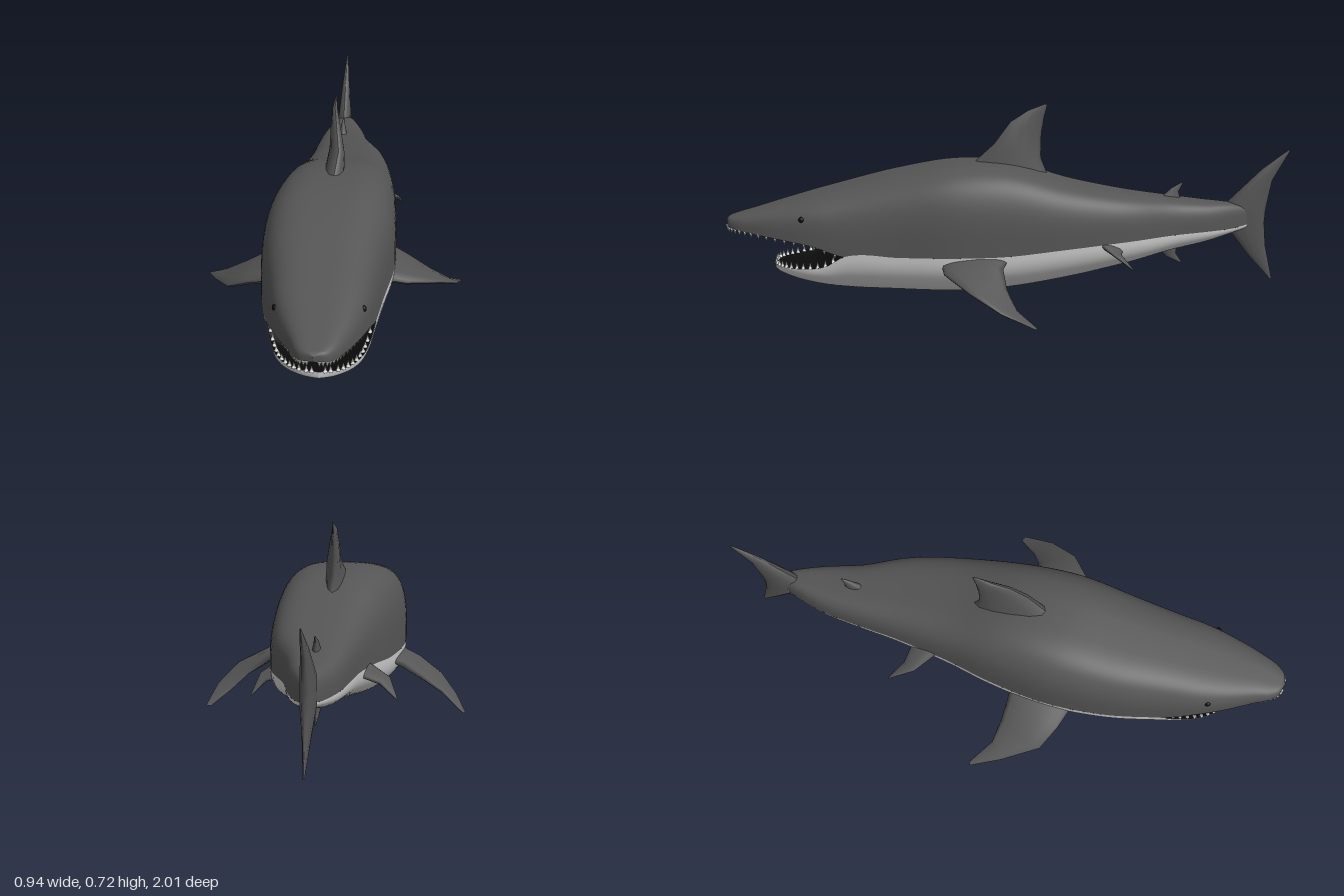
import * as THREE from 'three';

const mat = (color, side = THREE.FrontSide) => new THREE.MeshStandardMaterial({ color, side });
const SKIN = mat(0x555555), FIN = mat(0x555555, THREE.DoubleSide), BELLY = mat(0xcccccc);
const BLACK = mat(0x0a0a0a, THREE.DoubleSide), TOOTH = mat(0xf0f0ea);

// Smooth interpolation of table rows [s, value, value, ...] along the body.
function track(rows) {
  const n = rows[0].length - 1;
  const it = new THREE.CubicInterpolant(rows.map(r => r[0]), rows.flatMap(r => r.slice(1)), n);
  return s => Array.from(it.evaluate(s));
}

// Sideways sweep of the spine: x for each station s (= z).
const spine = track([[-1, -0.335], [-0.8, -0.262], [-0.55, -0.172], [-0.4, -0.1], [-0.2, -0.03], [0, 0.02],
  [0.2, 0.07], [0.4, 0.125], [0.6, 0.197], [0.8, 0.272], [0.9, 0.308], [1, 0.335], [1.1, 0.36]]);

// Upper body: half width, top, lower edge.
const upper = track([[-0.88, 0.004, 0.31, 0.265], [-0.8, 0.042, 0.338, 0.25], [-0.7, 0.08, 0.35, 0.247],
  [-0.55, 0.114, 0.372, 0.243], [-0.4, 0.156, 0.4, 0.238], [-0.2, 0.192, 0.445, 0.222], [0, 0.222, 0.505, 0.203],
  [0.2, 0.238, 0.514, 0.2], [0.4, 0.222, 0.48, 0.2], [0.6, 0.19, 0.43, 0.2], [0.7, 0.169, 0.403, 0.235],
  [0.8, 0.137, 0.375, 0.255], [0.9, 0.095, 0.347, 0.272], [0.97, 0.06, 0.328, 0.283], [0.99, 0.037, 0.321, 0.287],
  [1, 0, 0.312, 0.293]]);

// Lower body: half width, bottom, upper edge.
const lower = track([[-0.88, 0.004, 0.25, 0.265], [-0.8, 0.042, 0.228, 0.25], [-0.7, 0.08, 0.198, 0.247],
  [-0.55, 0.114, 0.166, 0.243], [-0.4, 0.156, 0.13, 0.238], [-0.2, 0.192, 0.085, 0.222], [0, 0.222, 0.05, 0.203],
  [0.2, 0.238, 0.037, 0.2], [0.4, 0.222, 0.042, 0.2], [0.6, 0.19, 0.055, 0.2], [0.66, 0.172, 0.066, 0.162],
  [0.75, 0.138, 0.09, 0.148], [0.8, 0.095, 0.108, 0.147], [0.82, 0.06, 0.116, 0.147], [0.832, 0, 0.122, 0.147]]);

// Places a body-space point (sideways u, height y, station s) on the swept spine.
function bend(u, y, s) {
  const a = Math.atan((spine(s + 0.08)[0] - spine(s - 0.08)[0]) / 0.16);
  return new THREE.Vector3(spine(s)[0] + u * Math.cos(a), y, s - u * Math.sin(a));
}

// Surface through a grid of points f(v, t), both running 0..1.
function surface(name, rows, cols, f, material) {
  const pos = [], idx = [], n = cols + 1;
  for (let i = 0; i <= rows; i++) for (let j = 0; j <= cols; j++) pos.push(...f(i / rows, j / cols).toArray());
  for (let i = 0; i < rows; i++) for (let j = 0; j < cols; j++) {
    const a = i * n + j;
    idx.push(a, a + 1, a + n, a + 1, a + n + 1, a + n);
  }
  const g = new THREE.BufferGeometry();
  g.setAttribute('position', new THREE.Float32BufferAttribute(pos, 3));
  g.setIndex(idx);
  g.computeVertexNormals();
  const m = new THREE.Mesh(g, material);
  m.name = name;
  return m;
}

// Stations packed more closely towards the front end.
const station = (a, b, v) => a + (b - a) * Math.sin(v * Math.PI / 2);

// Half-superellipse shell: turn 0 makes the back, turn 1 the belly; a lower power is squarer.
function shell(name, profile, front, turn, power, material) {
  return surface(name, 64, 40, (v, t) => {
    const s = station(-0.88, front, v), [w, tip, edge] = profile(s), a = (t + turn) * Math.PI;
    const c = Math.cos(a);
    return bend(w * Math.sign(c) * Math.abs(c) ** power, edge + (tip - edge) * Math.abs(Math.sin(a)) ** power, s);
  }, material);
}

// Vaulted mouth lining that closes at the throat.
function lining(name, profile, front, depth) {
  return surface(name, 30, 14, (v, t) => {
    const s = station(0.45, front, v), [w, tip, edge] = profile(s), k = 1 - 2 * t;
    const h = depth * THREE.MathUtils.smoothstep(s, 0.5, 0.72) * (1 - k * k);
    return bend(w * 0.985 * k, edge + (tip - edge) * h, s);
  }, BLACK);
}

// Row of cone teeth along both sides of a jaw edge.
function teeth(name, profile, from, front, count, radius, height, dir) {
  const group = new THREE.Group();
  group.name = name;
  const cone = new THREE.ConeGeometry(radius, height, 6);
  for (const side of [-1, 1]) for (let i = 0; i < count; i++) {
    const s = station(from, front, (i + 0.5) / count), [w, , edge] = profile(s);
    const tooth = new THREE.Mesh(cone, TOOTH);
    tooth.name = 'tooth';
    tooth.position.copy(bend(side * w * 0.94, edge + dir * height * 0.38, s));
    if (dir < 0) tooth.rotation.x = Math.PI;
    group.add(tooth);
  }
  return group;
}

// Lens-section fin; each row is leading point, trailing point, half thickness.
function fin(name, normal, rows) {
  const n = new THREE.Vector3(...normal).normalize();
  return surface(name, rows.length - 1, 12, (v, t) => {
    const r = rows[Math.round(v * (rows.length - 1))], a = t * Math.PI * 2;
    const k = (0.5 - 0.5 * Math.cos(a)) ** 1.3;
    return new THREE.Vector3(r[0], r[1], r[2]).lerp(new THREE.Vector3(r[3], r[4], r[5]), k)
      .addScaledVector(n, r[6] * Math.sin(a));
  }, FIN);
}

export function createModel() {
  const model = new THREE.Group();
  model.name = 'shark';

  // Body and mouth
  model.add(shell('back', upper, 1, 0, 0.58, SKIN), shell('belly', lower, 0.832, 1, 0.84, BELLY),
    lining('palate', upper, 1, 0.45), lining('mouthFloor', lower, 0.832, 0.5),
    teeth('upperTeeth', upper, 0.61, 0.995, 17, 0.007, 0.02, -1),
    teeth('lowerTeeth', lower, 0.62, 0.828, 12, 0.008, 0.024, 1));

  // Eyes
  for (const side of [-1, 1]) {
    const eye = new THREE.Mesh(new THREE.SphereGeometry(0.011, 12, 8), BLACK);
    eye.name = side > 0 ? 'leftEye' : 'rightEye';
    eye.position.copy(bend(side * 0.146, 0.332, 0.738));
    model.add(eye);
  }

  // Fins along the midline
  const across = [0.95, 0, -0.28];
  model.add(fin('dorsalFin', across, [
    [0.06, 0.46, 0.18, -0.035, 0.41, -0.14, 0.05],
    [0.055, 0.51, 0.13, -0.035, 0.46, -0.13, 0.038],
    [0.045, 0.58, 0.055, -0.035, 0.52, -0.105, 0.027],
    [0.015, 0.66, 0, -0.036, 0.6, -0.105, 0.018],
    [-0.015, 0.7, -0.06, -0.037, 0.67, -0.115, 0.01],
    [-0.034, 0.724, -0.12, -0.038, 0.72, -0.128, 0.002]]));
  model.add(fin('secondDorsalFin', across, [
    [-0.165, 0.35, -0.52, -0.195, 0.345, -0.61, 0.018],
    [-0.185, 0.4, -0.575, -0.197, 0.385, -0.6, 0.009],
    [-0.197, 0.42, -0.61, -0.199, 0.415, -0.615, 0.002]]));
  model.add(fin('analFin', across, [
    [-0.165, 0.19, -0.51, -0.195, 0.2, -0.6, 0.018],
    [-0.18, 0.135, -0.56, -0.195, 0.145, -0.595, 0.009],
    [-0.197, 0.11, -0.61, -0.199, 0.115, -0.615, 0.002]]));

  // Tail fin, following the sweep of the spine
  const tail = [[0.537, -0.994, 0.532, -1, 0.003], [0.465, -0.9, 0.42, -0.938, 0.014],
    [0.345, -0.78, 0.31, -0.918, 0.027], [0.24, -0.78, 0.26, -0.914, 0.027],
    [0.13, -0.86, 0.17, -0.92, 0.014], [0.035, -0.942, 0.036, -0.948, 0.003]];
  const tx = z => -0.27 + 0.32 * (z + 0.8);
  model.add(fin('tailFin', across, tail.map(([ly, lz, ty, tz, th]) => [tx(lz), ly, lz, tx(tz), ty, tz, th])));

  // Paired fins, posed differently by the swimming sweep
  model.add(fin('rightPectoralFin', [-0.4, 0.9, 0.1], [
    [-0.06, 0.178, 0.35, -0.1, 0.205, 0.09, 0.028],
    [-0.2, 0.132, 0.338, -0.21, 0.155, 0.12, 0.022],
    [-0.295, 0.085, 0.315, -0.28, 0.112, 0.135, 0.016],
    [-0.4, 0.04, 0.205, -0.36, 0.065, 0.143, 0.01],
    [-0.472, 0.003, 0.11, -0.462, 0.005, 0.1, 0.002]]));
  model.add(fin('leftPectoralFin', [0.5, 0.85, 0.1], [
    [0.22, 0.178, 0.215, 0.18, 0.205, -0.045, 0.028],
    [0.355, 0.152, 0.16, 0.28, 0.165, -0.04, 0.024],
    [0.445, 0.112, 0.04, 0.345, 0.11, -0.07, 0.016],
    [0.472, 0.055, -0.08, 0.395, 0.05, -0.12, 0.01],
    [0.458, 0.004, -0.2, 0.435, 0.003, -0.202, 0.002]]));
  model.add(fin('rightPelvicFin', [-0.4, 0.9, 0], [
    [-0.19, 0.235, -0.18, -0.2, 0.22, -0.3, 0.02],
    [-0.31, 0.2, -0.235, -0.295, 0.19, -0.29, 0.011],
    [-0.372, 0.15, -0.312, -0.368, 0.15, -0.317, 0.002]]));
  model.add(fin('leftPelvicFin', [0.5, 0.85, 0], [
    [0.065, 0.25, -0.31, 0.01, 0.22, -0.43, 0.02],
    [0.118, 0.208, -0.4, 0.08, 0.195, -0.435, 0.011],
    [0.116, 0.15, -0.482, 0.111, 0.15, -0.485, 0.002]]));

  return model;
}
